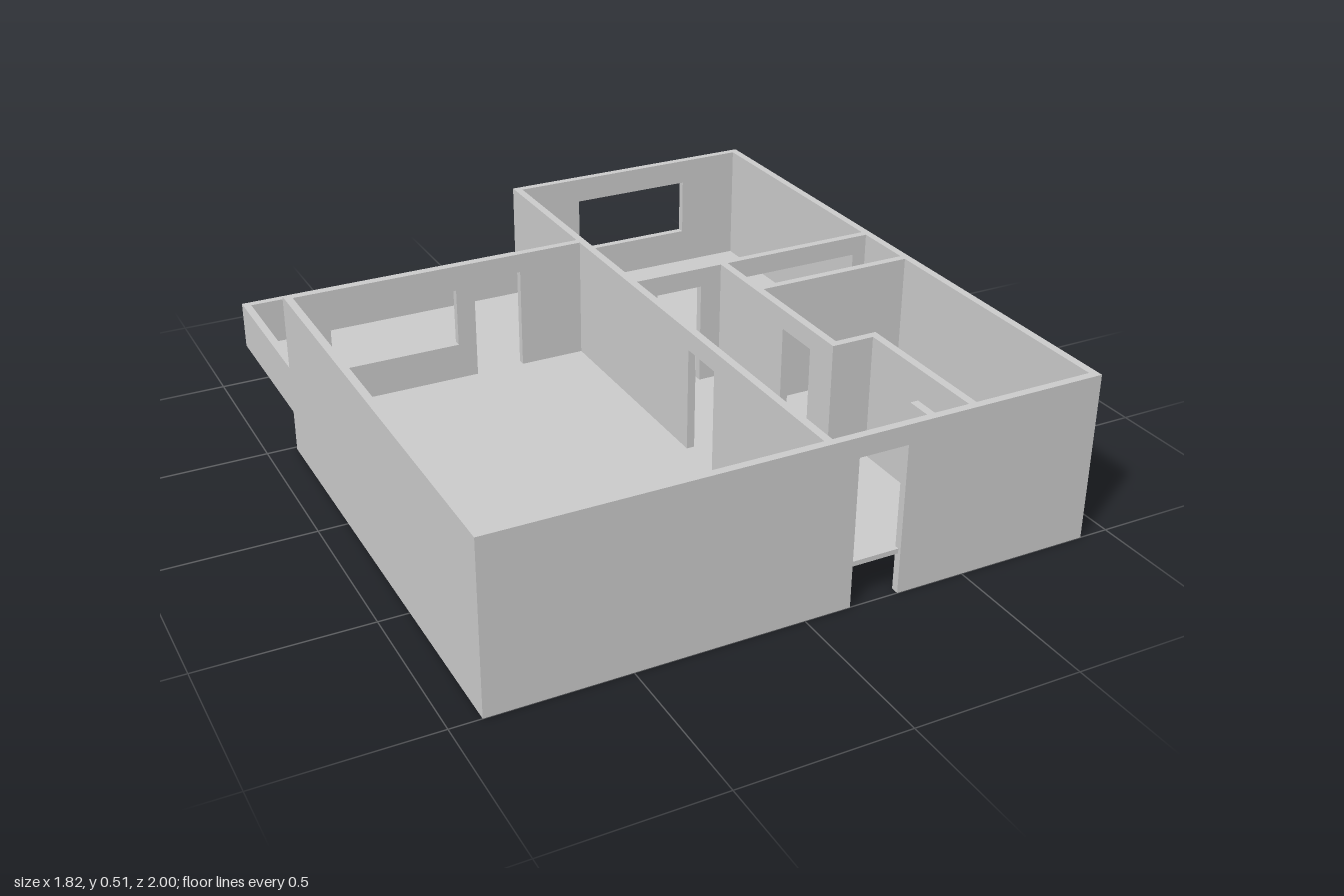
import * as THREE from 'three';

const T = 0.024;          // wall thickness
const H = 0.515;          // wall height
const DOOR = 0.455;       // door head height
const SILL = 0.25, HEAD = 0.435; // window opening

const material = new THREE.MeshStandardMaterial({ color: 0xcccccc, flatShading: true });

// Wall outline from a to b; doors notch up from the ground, windows are holes.
function wallGeometry(a, b, doors, windows) {
  const s = new THREE.Shape();
  s.moveTo(a, 0);
  for (const [d0, d1] of doors) {
    s.lineTo(d0, 0);
    s.lineTo(d0, DOOR);
    s.lineTo(d1, DOOR);
    s.lineTo(d1, 0);
  }
  s.lineTo(b, 0);
  s.lineTo(b, H);
  s.lineTo(a, H);
  s.closePath();
  for (const [w0, w1] of windows) {
    const hole = new THREE.Path();
    hole.moveTo(w0, SILL);
    hole.lineTo(w0, HEAD);
    hole.lineTo(w1, HEAD);
    hole.lineTo(w1, SILL);
    hole.closePath();
    s.holes.push(hole);
  }
  return new THREE.ExtrudeGeometry(s, { depth: T, bevelEnabled: false });
}

export function createModel() {
  const group = new THREE.Group();

  const add = (name, geometry) => {
    const mesh = new THREE.Mesh(geometry, material);
    mesh.name = name;
    group.add(mesh);
  };

  // Wall along x, its back face at z
  const wallX = (name, z, x0, x1, doors = [], windows = []) =>
    add(name, wallGeometry(x0, x1, doors, windows).translate(0, 0, z));

  // Wall along z, its right face at x (outline drawn in -z, then turned)
  const wallZ = (name, x, z0, z1, doors = []) => {
    const flipped = doors.map(([a, b]) => [-b, -a]).reverse();
    add(name, wallGeometry(-z1, -z0, flipped, []).rotateY(Math.PI / 2).translate(x, 0, 0));
  };

  const box = (name, x0, x1, y0, y1, z0, z1) =>
    add(name, new THREE.BoxGeometry(x1 - x0, y1 - y0, z1 - z0)
      .translate((x0 + x1) / 2, (y0 + y1) / 2, (z0 + z1) / 2));

  // Outer walls
  wallX('frontWall', 1 - T, -0.91, 0.91, [[0.14, 0.29]]);
  wallZ('rightOuterWall', -0.91, -0.486, 1 - T);
  wallZ('leftOuterWall', 0.91 - T, -0.99, 1 - T);
  wallX('bedroomBackWall', -0.99, 0.046 + T, 0.91 - T, [], [[0.28, 0.685]]);
  wallX('livingRoomBackWall', -0.486, -0.91 + T, 0.046, [[-0.315, -0.16]], [[-0.78, -0.375]]);

  // Inner partitions
  wallZ('middleWall', 0.046, -0.99, 1 - T, [[0.26, 0.41]]);
  wallX('bedroomPartition', -0.135, 0.046 + T, 0.91 - T, [[0.14, 0.29], [0.435, 0.84]]);
  wallZ('corridorPartition', 0.358, -0.135 + T, 0.502, [[0.26, 0.41]]);
  wallX('closetPartition', 0.082, 0.358 + T, 0.91 - T);
  wallX('alcoveBackPartition', 0.502, 0.358, 0.49 + T);
  wallZ('alcoveSidePartition', 0.49, 0.502 + T, 1 - T);
  wallZ('alcoveStub', 0.358, 0.9, 1 - T);

  // Raised floors
  box('mainFloor', -0.9, 0.9, 0.12, 0.135, -0.475, 0.99);
  box('bedroomFloor', 0.058, 0.9, 0.12, 0.135, -0.978, -0.475);
  box('balconyFloor', -0.9, 0.058, 0.12, 0.135, -0.985, -0.475);

  // Balcony parapets
  box('balconyBackParapet', -0.91, 0.046, 0.13, 0.28, -1, -1 + T);
  box('balconySideParapet', -0.91, -0.91 + T, 0.13, 0.28, -1 + T, -0.486);

  return group;
}
